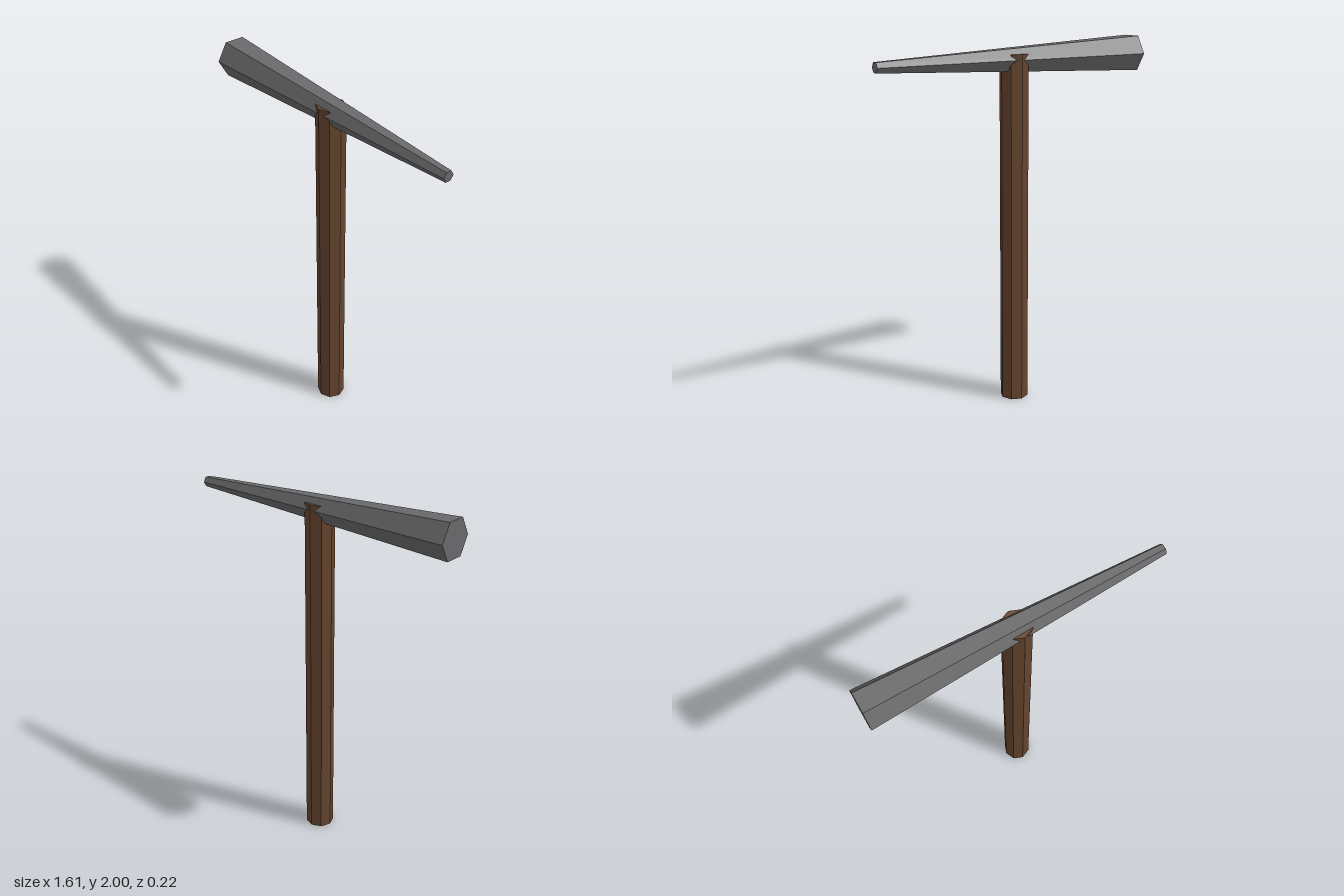
import * as THREE from 'three';

export function createModel() {
  const model = new THREE.Group();
  const wood = new THREE.MeshStandardMaterial({ name: 'brown wood', color: 0x65442e });
  const metal = new THREE.MeshStandardMaterial({ name: 'grey metal', color: 0x69696b });

  // Faceted prism or taper with hard edges
  function faceted(name, material, rTop, rBottom, length, sides) {
    const geometry = new THREE.CylinderGeometry(rTop, rBottom, length, sides).toNonIndexed();
    geometry.computeVertexNormals();
    const mesh = new THREE.Mesh(geometry, material);
    mesh.name = name;
    model.add(mesh);
    return mesh;
  }

  // Octagonal shaft, its corners just breaking through the head
  const handleHeight = 1.935;
  const handle = faceted('handle', wood, 0.078, 0.078, handleHeight, 8);
  handle.position.y = handleHeight / 2;

  // Hexagonal head lying along x, thick at -x and narrow at +x
  const head = faceted('head', metal, 0.11, 0.03, 1.614, 6);
  head.rotation.z = Math.PI / 2;
  head.position.y = 1.905;

  return model;
}
